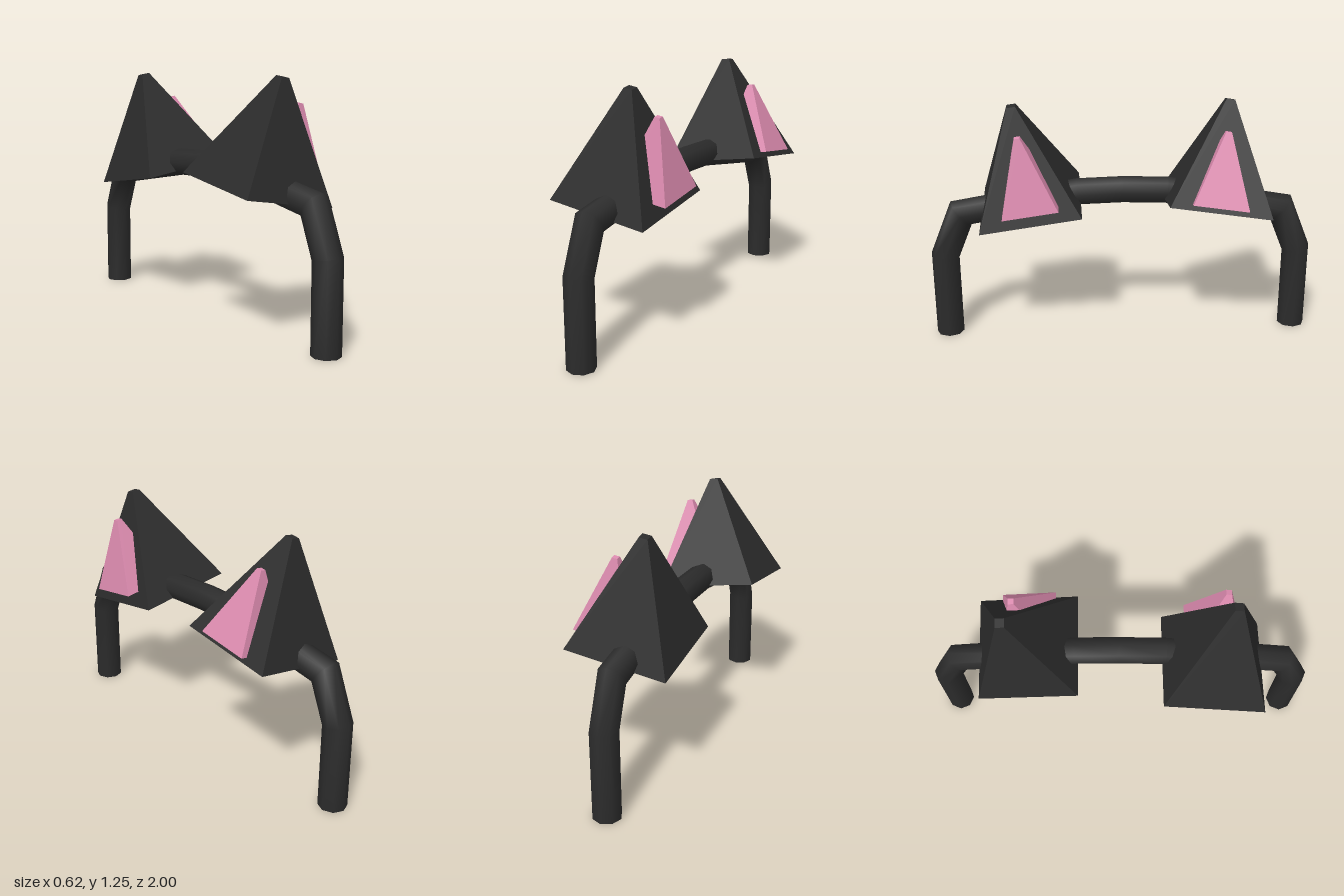
import * as THREE from 'three';

const CENTRE_X = -0.01;

// Octagonal band swept along a path of [z, y] points with mitred bends
function bandGeometry(path, radius, sides) {
  const positions = [];
  const index = [];
  const normal = (p, q) => {
    const length = Math.hypot(q[0] - p[0], q[1] - p[1]);
    return [(q[1] - p[1]) / length, -(q[0] - p[0]) / length];
  };
  path.forEach((p, i) => {
    const before = normal(path[Math.max(i - 1, 0)], path[Math.max(i, 1)]);
    const last = path.length - 1;
    const after = normal(path[Math.min(i, last - 1)], path[Math.min(i + 1, last)]);
    const mitre = 1 / (1 + before[0] * after[0] + before[1] * after[1]);
    const nz = (before[0] + after[0]) * mitre;
    const ny = (before[1] + after[1]) * mitre;
    for (let j = 0; j < sides; j++) {
      const angle = (j / sides) * Math.PI * 2;
      const out = Math.sin(angle) * radius;
      positions.push(CENTRE_X + Math.cos(angle) * radius, p[1] + ny * out, p[0] + nz * out);
      if (i < last) {
        const a = i * sides + j;
        const b = i * sides + ((j + 1) % sides);
        index.push(a, a + sides, b, b, a + sides, b + sides);
      }
    }
  });
  const geometry = new THREE.BufferGeometry();
  geometry.setAttribute('position', new THREE.Float32BufferAttribute(positions, 3));
  geometry.setIndex(index);
  geometry.computeVertexNormals();
  return geometry;
}

// Blunt square pyramid standing between a base centre and a tip
function pyramid(name, base, tip, halfBase, halfTip, material) {
  const from = new THREE.Vector3(...base);
  const axis = new THREE.Vector3(...tip).sub(from);
  const height = axis.length();
  const geometry = new THREE.CylinderGeometry(halfTip * Math.SQRT2, halfBase * Math.SQRT2, height, 4);
  geometry.rotateY(Math.PI / 4);
  geometry.translate(0, height / 2, 0);
  const mesh = new THREE.Mesh(geometry, material);
  mesh.name = name;
  mesh.position.copy(from);
  mesh.quaternion.setFromUnitVectors(new THREE.Vector3(0, 1, 0), axis.normalize());
  return mesh;
}

export function createModel() {
  const group = new THREE.Group();
  group.name = 'earHeadband';

  const black = new THREE.MeshStandardMaterial({ color: 0x2b2b2b });
  black.name = 'black';
  const blackFlat = black;
  const pink = new THREE.MeshStandardMaterial({ color: 0xdb8aae });
  pink.name = 'pink';
  pink.flatShading = true;

  // Headband
  const radius = 0.0715;
  const half = [[0.929, 0], [0.929, 0.445], [0.835, 0.675], [0.23, 0.78]];
  const path = [...half, [0, 0.787], ...half.map(([z, y]) => [-z, y]).reverse()];
  const band = new THREE.Mesh(bandGeometry(path, radius, 8), black);
  band.name = 'headband';
  group.add(band);

  for (const side of [1, -1]) {
    const label = side > 0 ? 'front' : 'back';

    // Closed end of the band
    const cap = new THREE.Mesh(new THREE.CircleGeometry(radius, 8), black);
    cap.name = label + 'BandEnd';
    cap.rotation.x = Math.PI / 2;
    cap.position.set(CENTRE_X, 0, side * 0.929);
    group.add(cap);

    // Outer ear, the back one turned half round from the front one
    const ear = pyramid(
      label + 'Ear',
      [CENTRE_X - side * 0.043, 0.708, side * 0.473],
      [CENTRE_X + side * 0.042, 1.246, side * 0.553],
      0.26, 0.022, blackFlat
    );
    // Flat sides
    ear.geometry = ear.geometry.toNonIndexed();
    ear.geometry.computeVertexNormals();
    group.add(ear);

    // Inner ear, both poking out of the +x side
    const x = side > 0 ? 0.11 : 0.165;
    group.add(pyramid(
      label + 'InnerEar',
      [x, 0.76, side * 0.47],
      [x + side * 0.053, 1.119, side * 0.523],
      0.141, 0.014, pink
    ));
  }
  return group;
}
